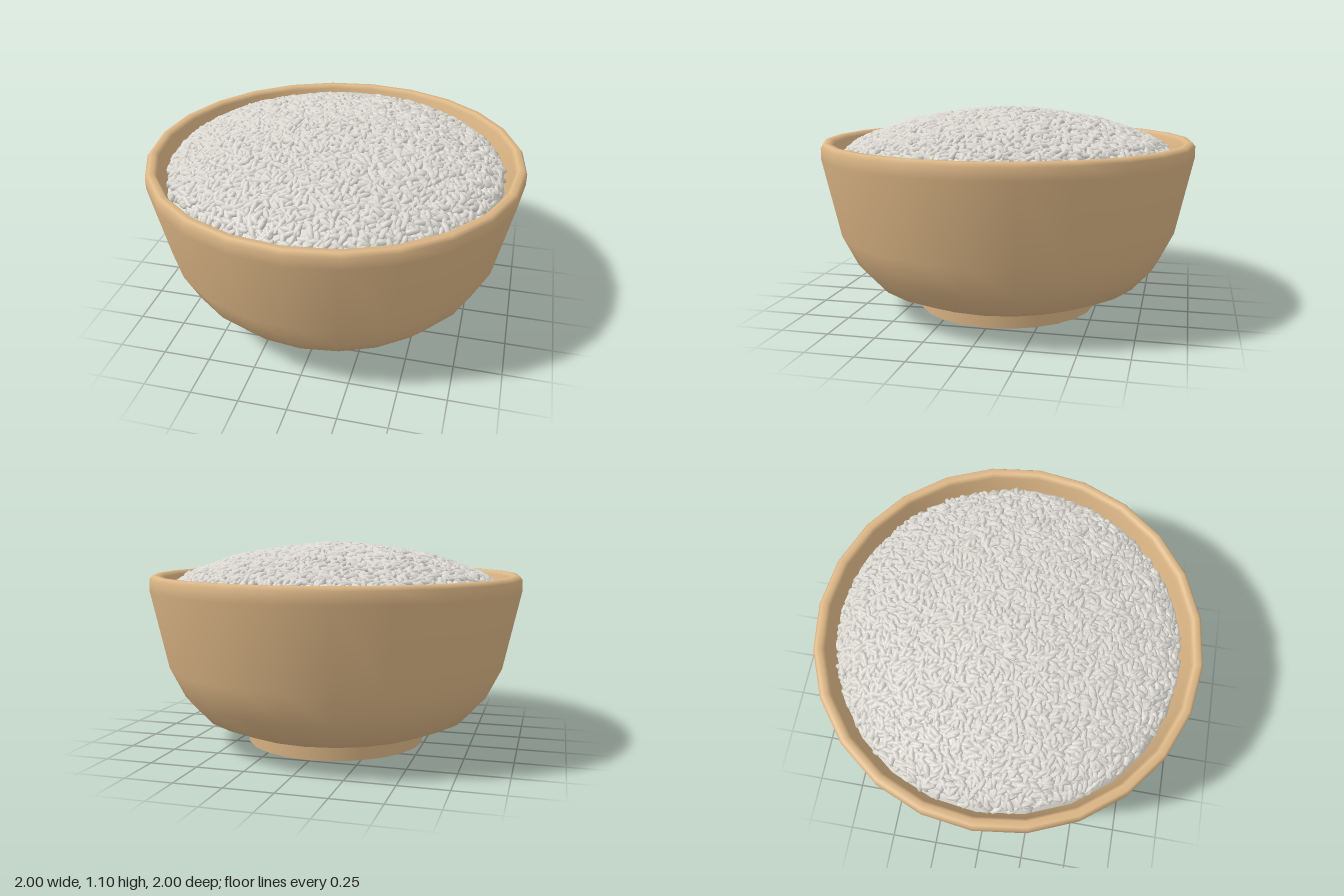
import * as THREE from 'three';
import { mergeGeometries } from 'three/addons/utils/BufferGeometryUtils.js';

const SIDES = 24;

// Seeded random numbers in 0..1
function seeded(seed) {
  return () => {
    seed = (Math.imul(seed, 1664525) + 1013904223) >>> 0;
    return seed / 4294967296;
  };
}

function lathe(points) {
  return new THREE.LatheGeometry(points.map(([r, y]) => new THREE.Vector2(r, y)), SIDES);
}

// Mound profile, from the wall of the bowl to the peak
const MOUND = [[0.9, 0.78], [0.87, 0.86], [0.79, 0.915], [0.53, 1.005], [0.27, 1.05], [0, 1.077]];

// Height and slope of the mound at radius r
function moundAt(r) {
  for (let i = 1; i < MOUND.length; i++) {
    const [r0, y0] = MOUND[i - 1], [r1, y1] = MOUND[i];
    if (r >= r1) {
      const slope = (y1 - y0) / (r1 - r0);
      return { y: y1 + slope * (r - r1), slope };
    }
  }
}

function grainsGeometry(count) {
  const rand = seeded(7);
  const grain = new THREE.SphereGeometry(1, 6, 4);
  grain.deleteAttribute('uv');
  const up = new THREE.Vector3(0, 1, 0);
  const parts = [];
  for (let i = 0; i < count; i++) {
    // Even spiral scatter with jitter
    const r = Math.min(0.885, 0.885 * Math.sqrt((i + 0.5) / count) + (rand() - 0.5) * 0.02);
    const a = i * 2.399963 + (rand() - 0.5) * 0.04;
    const { y, slope } = moundAt(Math.max(r, 0));
    const normal = new THREE.Vector3(-slope * Math.sin(a), 1, -slope * Math.cos(a)).normalize();
    // Lie the grain on the slope, turned at random and slightly tilted
    const turn = new THREE.Quaternion().setFromUnitVectors(up, normal);
    turn.multiply(new THREE.Quaternion().setFromEuler(
      new THREE.Euler(0, rand() * Math.PI * 2, (rand() - 0.5) * 0.5, 'YXZ')));
    turn.multiply(new THREE.Quaternion().setFromEuler(new THREE.Euler(0, 0, Math.PI / 2)));
    const size = 0.88 + rand() * 0.24;
    const pos = new THREE.Vector3(r * Math.sin(a), y + (rand() - 0.5) * 0.012, r * Math.cos(a));
    const scale = new THREE.Vector3(0.017, 0.037, 0.017).multiplyScalar(size);
    parts.push(grain.clone().applyMatrix4(new THREE.Matrix4().compose(pos, turn, scale)));
  }
  return mergeGeometries(parts);
}

export function createModel() {
  const group = new THREE.Group();
  const wood = new THREE.MeshStandardMaterial({ color: 0xdeb887 });
  wood.name = 'light wood';
  const rice = new THREE.MeshStandardMaterial({ color: 0xe0ded6 });
  rice.name = 'rice white';
  const add = (name, geometry, material) => {
    const mesh = new THREE.Mesh(geometry, material);
    mesh.name = name;
    group.add(mesh);
  };

  // Bowl: up the outside, over the rim and down the inside
  add('bowl', lathe([
    [0.49, 0.08], [0.57, 0.093], [0.73, 0.16], [0.83, 0.27], [0.91, 0.43], [1, 0.84],
    [1, 0.9], [0.985, 0.92], [0.955, 0.92], [0.94, 0.9], [0.935, 0.84],
    [0.85, 0.45], [0.77, 0.3], [0.66, 0.21], [0.45, 0.16], [0, 0.15],
  ]), wood);

  // Foot ring in separate sections so its edges stay sharp
  add('footUnderside', lathe([[0, 0.06], [0.44, 0.06]]), wood);
  add('footInnerWall', lathe([[0.44, 0.06], [0.43, 0]]), wood);
  add('footBase', lathe([[0.43, 0], [0.488, 0]]), wood);
  add('footOuterWall', lathe([[0.488, 0], [0.497, 0.085]]), wood);

  // Heap of rice: a closed mound covered with grains
  add('riceMound', lathe(MOUND), rice);
  add('riceGrains', grainsGeometry(3900), rice);

  return group;
}
